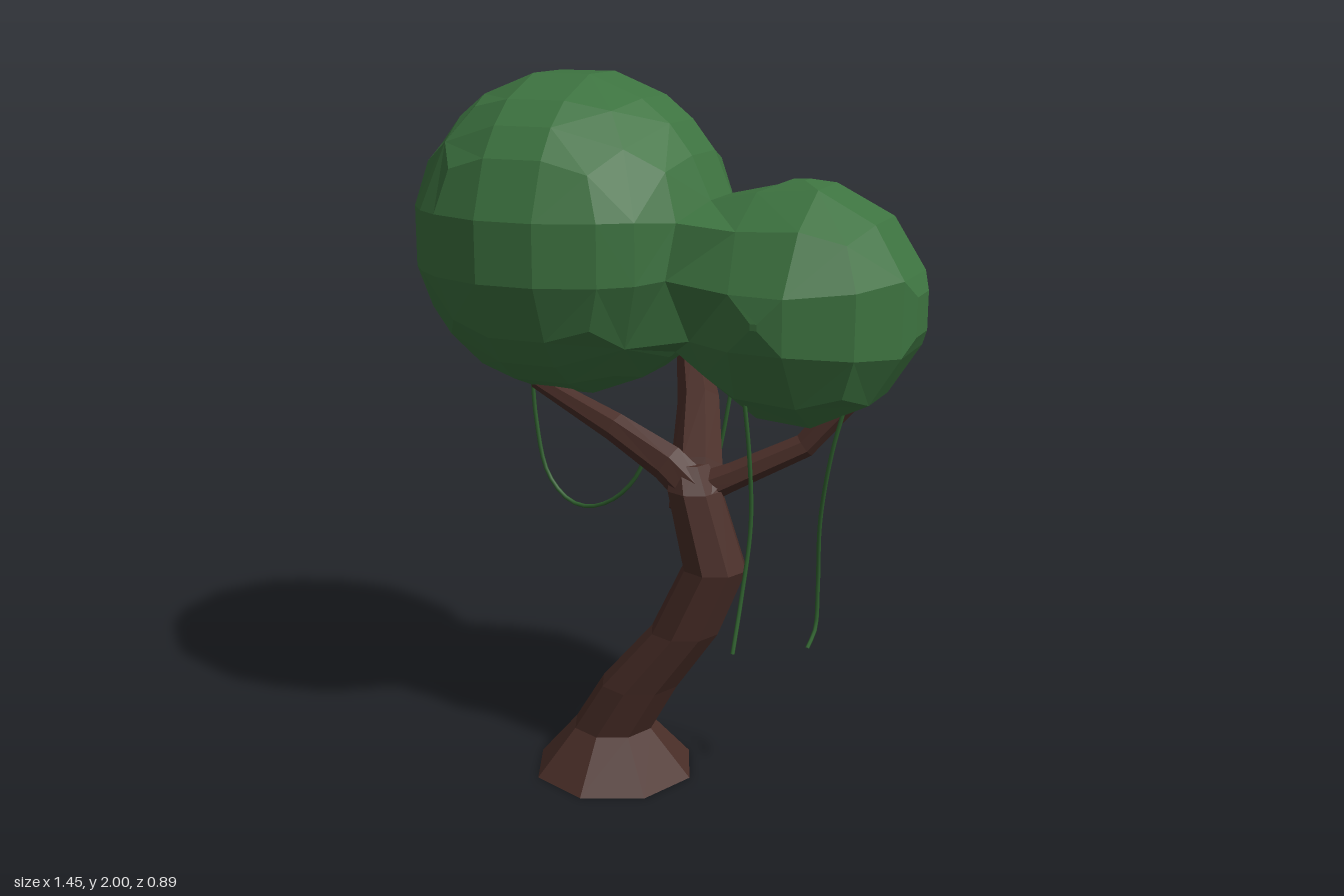
import * as THREE from 'three';

const bark = new THREE.MeshStandardMaterial({ color: 0x4a2e28, flatShading: true });
const leaf = new THREE.MeshStandardMaterial({ color: 0x3d7340, flatShading: true });
const vineGreen = new THREE.MeshStandardMaterial({ color: 0x2f5f2e });

function mesh(name, geometry, material) {
  const m = new THREE.Mesh(geometry, material);
  m.name = name;
  return m;
}

function indexed(positions, index) {
  const g = new THREE.BufferGeometry();
  g.setAttribute('position', new THREE.Float32BufferAttribute(positions, 3));
  g.setIndex(index);
  g.computeVertexNormals();
  return g;
}

// Tapered limb through rings [x, y, z, radius]; level keeps the rings horizontal
function limb(rings, sides, level) {
  const pos = [], idx = [];
  const centres = rings.map(r => new THREE.Vector3(r[0], r[1], r[2]));
  const up = new THREE.Vector3(0, 1, 0);
  centres.forEach((c, i) => {
    const before = centres[Math.max(i - 1, 0)];
    const after = centres[Math.min(i + 1, centres.length - 1)];
    const axis = level ? up : after.clone().sub(before).normalize();
    const q = new THREE.Quaternion().setFromUnitVectors(up, axis);
    for (let k = 0; k < sides; k++) {
      const a = k / sides * Math.PI * 2;
      const p = new THREE.Vector3(Math.cos(a), 0, Math.sin(a))
        .multiplyScalar(rings[i][3]).applyQuaternion(q).add(c);
      pos.push(p.x, p.y, p.z);
    }
  });
  for (let i = 0; i < rings.length - 1; i++) {
    for (let k = 0; k < sides; k++) {
      const a = i * sides + k, b = i * sides + (k + 1) % sides;
      idx.push(a, a + sides, b, b, a + sides, b + sides);
    }
  }
  // end caps
  const top = (rings.length - 1) * sides;
  for (let k = 1; k < sides - 1; k++) {
    idx.push(0, k, k + 1, top, top + k + 1, top + k);
  }
  return indexed(pos, idx);
}

// Two merged leaf balls, meshed on a coarse cubic grid so they share one faceted skin
function canopyGeometry() {
  const balls = [
    { c: new THREE.Vector3(-0.283, 1.552, 0), r: 0.46 },
    { c: new THREE.Vector3(0.396, 1.393, -0.005), r: 0.338 },
  ];
  const step = 0.163;
  const origin = new THREE.Vector3(-0.283 - 4 * step, 1.552 - 4 * step, -4 * step);
  const size = [12, 9, 9];
  const nearest = p => balls.reduce((best, b) =>
    p.distanceTo(b.c) - b.r < p.distanceTo(best.c) - best.r ? b : best);
  const corner = (i, j, k) => new THREE.Vector3(i, j, k).multiplyScalar(step).add(origin);
  const dist = p => { const b = nearest(p); return p.distanceTo(b.c) - b.r; };

  const pos = [], idx = [], cells = new Map();
  // one vertex per crossed cell: mean edge crossing, pushed out to the ball
  function vertex(cell) {
    const key = cell.join();
    if (cells.has(key)) return cells.get(key);
    const mean = new THREE.Vector3();
    let n = 0;
    for (let axis = 0; axis < 3; axis++) {
      for (let s = 0; s < 4; s++) {
        const a = [...cell];
        a[(axis + 1) % 3] += s & 1;
        a[(axis + 2) % 3] += s >> 1;
        const b = [...a];
        b[axis]++;
        const pa = corner(...a), pb = corner(...b), da = dist(pa), db = dist(pb);
        if (da < 0 !== db < 0) { mean.add(pa.lerp(pb, da / (da - db))); n++; }
      }
    }
    mean.divideScalar(n);
    const ball = nearest(mean);
    mean.sub(ball.c).setLength(ball.r).add(ball.c);
    pos.push(mean.x, mean.y, mean.z);
    cells.set(key, pos.length / 3 - 1);
    return pos.length / 3 - 1;
  }
  // one quad round every grid edge that crosses the skin
  for (let i = 0; i < size[0]; i++) for (let j = 0; j < size[1]; j++) for (let k = 0; k < size[2]; k++) {
    for (let axis = 0; axis < 3; axis++) {
      const a = [i, j, k], b = [i, j, k];
      b[axis]++;
      const inside = dist(corner(...a)) < 0;
      if (inside === dist(corner(...b)) < 0) continue;
      const q = [[-1, -1], [0, -1], [0, 0], [-1, 0]].map(([u, v]) => {
        const cell = [...a];
        cell[(axis + 1) % 3] += u;
        cell[(axis + 2) % 3] += v;
        return vertex(cell);
      });
      if (!inside) q.reverse();
      idx.push(q[0], q[1], q[2], q[0], q[2], q[3]);
    }
  }
  return indexed(pos, idx);
}

export function createModel() {
  const tree = new THREE.Group();
  tree.name = 'tree';

  // leaning trunk with flared foot
  tree.add(mesh('trunk', limb([
    [-0.112, 0, 0.147, 0.238], [-0.115, 0.135, 0.147, 0.119], [-0.03, 0.28, 0.147, 0.115],
    [0.11, 0.46, 0.147, 0.1], [0.2, 0.66, 0.147, 0.093], [0.135, 0.88, 0.14, 0.08],
    [0.11, 0.95, 0.12, 0.06],
  ], 8, true), bark));

  // branches
  const branches = {
    leftwardBranch: [[0.17, 0.85, 0.14, 0.06], [0.06, 0.95, 0.15, 0.055],
      [-0.1, 1.035, 0.15, 0.042], [-0.36, 1.14, 0.12, 0.025]],
    rearBranch: [[0.14, 0.82, 0.14, 0.075], [0.12, 0.92, 0.08, 0.075],
      [0.06, 1.07, -0.08, 0.062], [-0.02, 1.21, -0.22, 0.045]],
    sideBranch: [[0.13, 0.87, 0.13, 0.05], [0.24, 0.92, 0.1, 0.04],
      [0.42, 1.01, 0.04, 0.035], [0.53, 1.14, 0.01, 0.035]],
  };
  for (const [name, rings] of Object.entries(branches)) {
    tree.add(mesh(name, limb(rings, 7, false), bark));
  }

  tree.add(mesh('canopy', canopyGeometry(), leaf));

  // hanging vines
  const vines = {
    loopVine: [[-0.39, 1.18, 0.09], [-0.38, 1.02, 0.09], [-0.34, 0.86, 0.1], [-0.27, 0.79, 0.11],
      [-0.2, 0.78, 0.12], [-0.11, 0.82, 0.13], [-0.04, 0.9, 0.13], [0, 1.02, 0.13]],
    frontVine: [[0.29, 1.16, 0.17], [0.305, 1, 0.165], [0.31, 0.8, 0.16], [0.3, 0.6, 0.2], [0.3, 0.46, 0.265]],
    sideVine: [[0.55, 1.16, 0.08], [0.51, 1, 0.08], [0.475, 0.8, 0.055], [0.465, 0.6, 0.03],
      [0.465, 0.48, 0.045], [0.46, 0.44, 0.1]],
    rearVine: [[0.16, 1.2, -0.12], [0.13, 1, -0.105], [0.095, 0.8, -0.1], [0.085, 0.68, -0.11], [0.08, 0.58, -0.135]],
  };
  for (const [name, pts] of Object.entries(vines)) {
    const curve = new THREE.CatmullRomCurve3(pts.map(p => new THREE.Vector3(...p)));
    tree.add(mesh(name, new THREE.TubeGeometry(curve, 24, 0.006, 6), vineGreen));
  }
  return tree;
}
